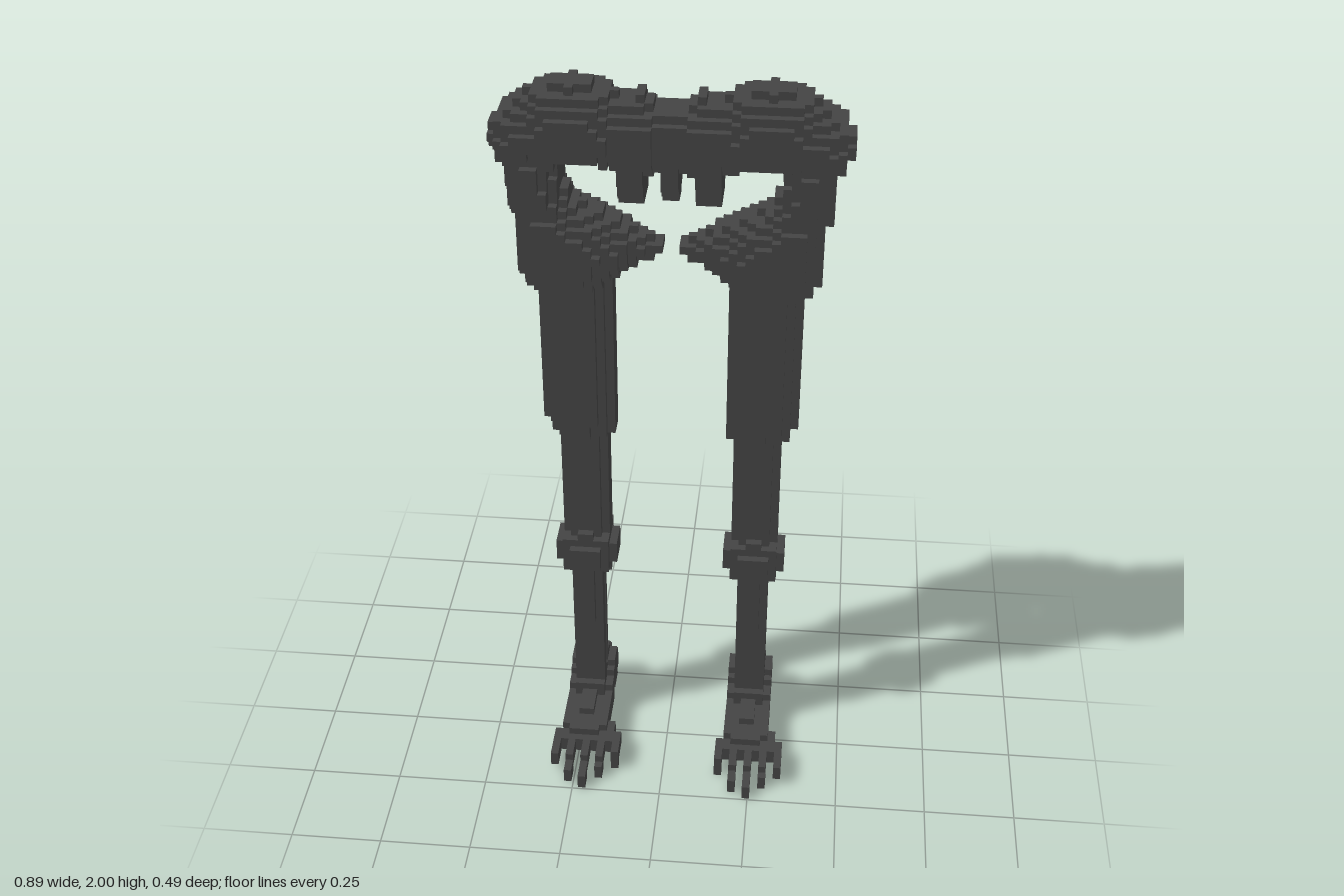
import * as THREE from 'three';

// One voxel is 1/94 of the height; x is centred on 0, z cells are centred on whole numbers.
const V = 2 / 94;
const MID = -6; // z of the leg axis, in voxels

// Superellipsoid test: p = 2 is round, larger is boxier.
const blob = (cx, cy, cz, rx, ry, rz, p = 2) => (x, y, z) =>
  Math.abs((x - cx) / rx) ** p + Math.abs((y - cy) / ry) ** p + Math.abs((z - cz) / rz) ** p <= 1;

const box = (x0, x1, y0, y1, z0, z1) => (x, y, z) =>
  x > x0 && x < x1 && y > y0 && y < y1 && z > z0 && z < z1;

// Upright shaft with an elliptical cross-section.
const shaft = (cx, rx, rz, y0, y1) => (x, y, z) =>
  y > y0 && y < y1 && ((x - cx) / rx) ** 2 + ((z - MID) / rz) ** 2 <= 1;

// Elliptical disc standing across x.
const disc = (x0, x1, cy, ry, rz) => (x, y, z) =>
  x > x0 && x < x1 && ((y - cy) / ry) ** 2 + ((z - MID) / rz) ** 2 <= 1;

// Tapering bone from (ax, ay) to (bx, by), stretched in z by s.
const taper = (ax, ay, ra, bx, by, rb, s) => (x, y, z) => {
  const dx = bx - ax, dy = by - ay;
  const t = Math.min(1, Math.max(0, ((x - ax) * dx + (y - ay) * dy) / (dx * dx + dy * dy)));
  const r = ra + (rb - ra) * t;
  return (x - ax - dx * t) ** 2 + (y - ay - dy * t) ** 2 + ((z - MID) / s) ** 2 <= r * r;
};

const any = (...tests) => (x, y, z) => tests.some((t) => t(x, y, z));
const mirrored = (test) => (x, y, z) => test(Math.abs(x), y, z);

// The six outward directions: axis and sign.
const SIDES = [0, 1, 2].flatMap((a) => [1, -1].map((s) => ({ a, s })));

// Fills a test between two heights with cubes and keeps only the exposed faces.
function voxelMesh(name, test, y0, y1, material) {
  const filled = (x, y, z) => y > y0 && y < y1 && test(x, y, z);
  const pos = [], nor = [];
  for (let y = y0 + 0.5; y < y1; y++)
    for (let x = -21.5; x < 22; x++)
      for (let z = -12; z <= 12; z++) {
        if (!filled(x, y, z)) continue;
        for (const { a, s } of SIDES) {
          const n = [0, 0, 0];
          n[a] = s;
          if (filled(x + n[0], y + n[1], z + n[2])) continue;
          const b = (a + 1) % 3, c = (a + 2) % 3;
          const corners = [[-1, -1], [1, -1], [1, 1], [-1, 1]].map(([i, j]) => {
            const q = [x, y, z];
            q[a] += s / 2;
            q[b] += i / 2;
            q[c] += (j * s) / 2;
            return q.map((v) => v * V);
          });
          for (const k of [0, 1, 2, 0, 2, 3]) {
            pos.push(...corners[k]);
            nor.push(...n);
          }
        }
      }
  const g = new THREE.BufferGeometry();
  g.setAttribute('position', new THREE.Float32BufferAttribute(pos, 3));
  g.setAttribute('normal', new THREE.Float32BufferAttribute(nor, 3));
  const mesh = new THREE.Mesh(g, material);
  mesh.name = name;
  return mesh;
}

export function createModel() {
  const group = new THREE.Group();
  group.name = 'legFrame';
  const bone = new THREE.MeshStandardMaterial({ color: 0x444444 });
  bone.name = 'charcoal';
  const add = (name, test, y0, y1) => group.add(voxelMesh(name, test, y0, y1, bone));

  // Pelvis wings with trochanters, arched over the openings
  const wing = any(
    blob(11.5, 88, MID, 8, 5.85, 5.9),
    blob(17, 87.5, MID, 3.75, 3.9, 5.6),
  );
  const opening = (x, y) => ((x - 10.5) / 4) ** 2 + ((y - 81.5) / 5) ** 2 < 1;
  add('pelvisWings', mirrored((x, y, z) => wing(x, y, z) && !opening(x, y)), 80, 94);

  // Central bridge made of upright discs
  add('pelvisBridge', mirrored(any(
    disc(0, 1, 85.5, 5.7, 3.8),
    disc(0, 3, 87.5, 3.8, 3.8),
    disc(3, 6, 86, 6.3, 4.4),
    disc(2, 6, 87.5, 4.2, 4.6),
    disc(3, 4, 89, 3.9, 2.8),
  )), 80, 93);

  // Hip columns, the lower hip masses and the inward-pointing horns
  add('hipColumns', mirrored(any(
    taper(16.2, 85, 2.9, 15.8, 81, 3.2, 1.75),
    taper(15.7, 80, 3.2, 14, 75, 4.3, 1.4),
  )), 70, 88);
  add('lowerHips', mirrored(blob(12.5, 73, MID, 5.7, 5.4, 5.8, 2.4)), 68, 79);
  add('hipHorns', mirrored(any(
    taper(8, 73.2, 3.9, 1.9, 73.5, 0.95, 1.3),
    taper(13.5, 76.5, 3.2, 6.5, 74, 2.4, 1.35),
  )), 68, 81);

  // Thighs: a thick upper sleeve over a thinner shaft
  add('upperThighs', mirrored(any(
    shaft(11.5, 4.7, 3.7, 49, 70),
    shaft(11, 3.9, 3.2, 47, 50),
  )), 47, 70);
  add('lowerThighs', mirrored(shaft(11, 3, 2.5, 29, 50)), 29, 50);

  // Knees
  add('knees', mirrored(any(
    blob(11, 28.5, -5.5, 4, 3.7, 4, 2.2),
    shaft(11, 2.6, 2.4, 24, 33),
  )), 24, 33);

  // Twin shin bones, joined below the knee
  add('shins', mirrored(any(
    box(9, 13, 5, 26, -5.5, -3.5),
    box(10, 12, 17, 26, -4.5, -2.5),
    box(9, 13, 5, 26, -7.5, -6.5),
    box(9, 13, 23, 26, -7.5, -3.5),
  )), 5, 26);

  // Feet: rounded heel, stepped instep, toe bar and five toes each
  const foot = any(
    blob(11, 4.2, -8, 3.3, 3.9, 3.7),
    box(9, 13, 1, 6, -8.5, -2.5),
    box(8, 14, 3, 5, -8.5, -3.5),
    box(9, 13, 1, 4, -8.5, 0.5),
    box(8, 14, 1, 4, -5.5, 3.5),
    box(10, 12, 3, 5, -3.5, 1.5),
    box(14, 15, 1, 3, 1.5, 4.5),
    box(7, 16, 1, 3, 3.5, 5.5),
    box(9, 13, 3, 4, 3.5, 4.5),
  );
  const toes = (shift, tips, flat) => any(...tips.flatMap((tip, i) => {
    const x = 7 + 2 * i + shift;
    const parts = [
      box(x, x + 1, 1, 2, 4.5, tip),
      box(x, x + 1, 1, 3, 4.5, Math.min(tip, 8.5)),
    ];
    if (i !== flat) parts.push(box(x, x + 1, 0, 1, tip - (tip < 8 ? 1 : 2), tip));
    return parts;
  }));
  [
    ['left', 0, [7.5, 10.5, 11.5, 9.5, 8.5], 4],
    ['right', -22, [8.5, 10.5, 11.5, 9.5, 7.5], 0],
  ].forEach(([side, shift, tips, flat]) => {
    add(side + 'Foot', (x, y, z) => foot(x - shift, y, z), 1, 9);
    add(side + 'Toes', toes(shift, tips, flat), 0, 4);
  });
  return group;
}
